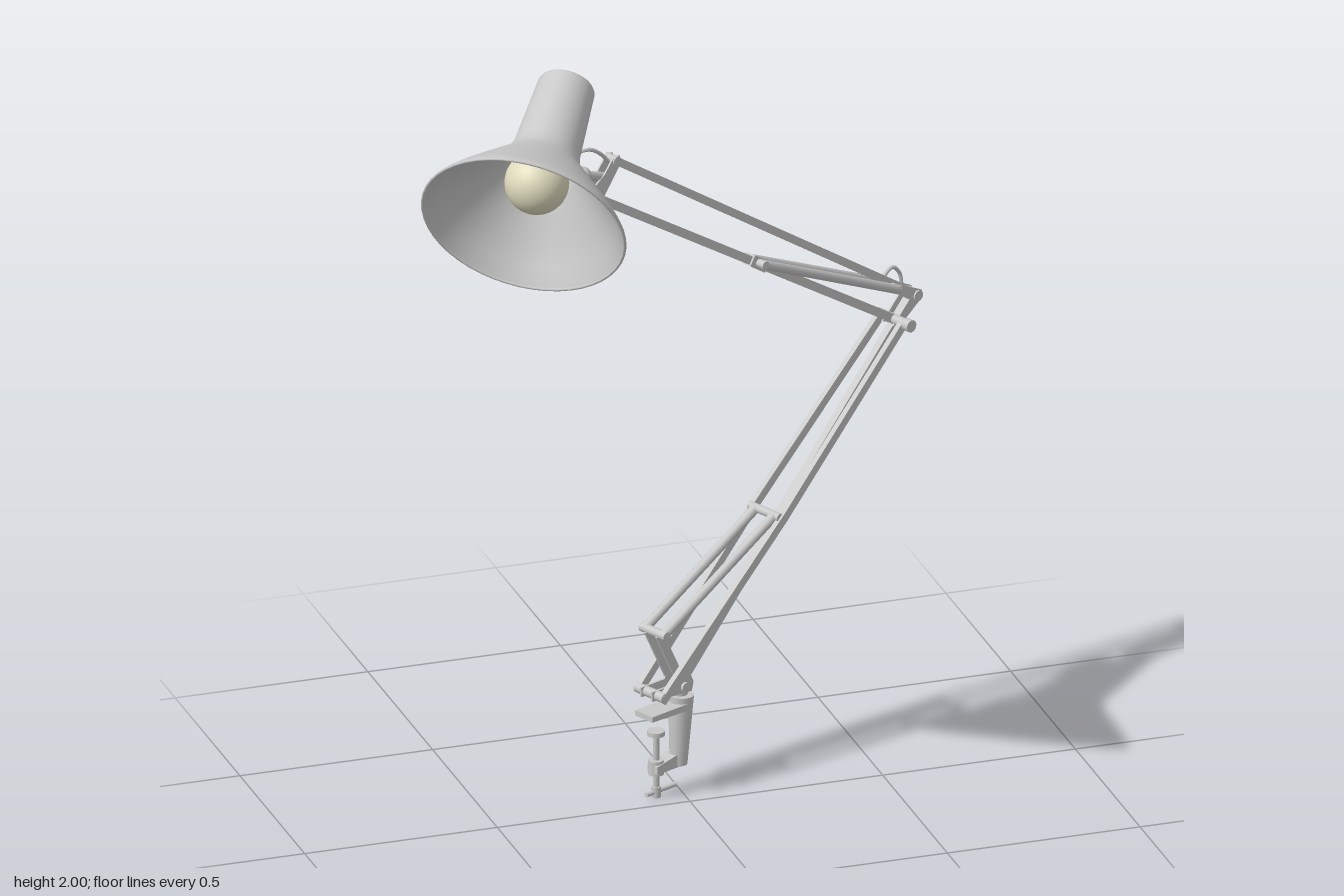
import * as THREE from 'three';

const V = (x, y, z) => new THREE.Vector3(x, y, z);
const TURN = 0.432; // yaw of the arm plane
const COS = Math.cos(TURN);

export function createModel() {
  const grey = new THREE.MeshStandardMaterial({ color: 0xc8c8c8, side: THREE.DoubleSide });
  grey.name = 'grey metal';
  const cream = new THREE.MeshStandardMaterial({ color: 0xdedabc });
  cream.name = 'cream bulb';

  const model = new THREE.Group();
  model.name = 'clampDeskLamp';
  const arm = new THREE.Group();
  arm.name = 'armAndClamp';
  arm.position.z = -0.086;
  arm.rotation.y = TURN;
  model.add(arm);

  const add = (parent, name, geo, mat = grey) => {
    const m = new THREE.Mesh(geo, mat);
    m.name = name;
    parent.add(m);
    return m;
  };
  // point in the arm plane: x as seen from the front, w across the plane
  const P = (x, y, w = 0) => V(x / COS, y, w);
  const between = (m, axis, a, b) => {
    m.position.copy(a).add(b).multiplyScalar(0.5);
    m.quaternion.setFromUnitVectors(axis, b.clone().sub(a).normalize());
    return m;
  };
  const round = (parent, name, a, b, r, r2 = r) =>
    between(add(parent, name, new THREE.CylinderGeometry(r2, r, a.distanceTo(b), 16)), V(0, 1, 0), a, b);
  const bar = (name, a, b, h, d) =>
    between(add(arm, name, new THREE.BoxGeometry(a.distanceTo(b), h, d)), V(1, 0, 0), a, b);
  const pin = (name, x, y, half, r) => round(arm, name, P(x, y, -half), P(x, y, half), r);
  const wire = (parent, name, pts, r) =>
    add(parent, name, new THREE.TubeGeometry(new THREE.CatmullRomCurve3(pts), 24, r, 8));
  const plate = (name, pts, w, depth) => {
    const shape = new THREE.Shape(pts.map(([x, y]) => new THREE.Vector2(x / COS, y)));
    const m = add(arm, name, new THREE.ExtrudeGeometry(shape, { depth, bevelEnabled: false }));
    m.position.z = w - depth / 2;
  };

  // Clamp
  round(arm, 'clampBody', P(-0.008, 0.072, 0.008), P(0, 0.255, 0.008), 0.022, 0.032);
  plate('clampJaw', [[-0.115, 0.226], [0, 0.222], [0, 0.24], [-0.115, 0.24]], 0.008, 0.062);
  plate('clampFoot', [[-0.085, 0.07], [0, 0.07], [0, 0.102], [-0.03, 0.102], [-0.085, 0.09]], 0.004, 0.036);
  round(arm, 'clampScrew', P(-0.07, 0.012), P(-0.07, 0.17), 0.008);
  round(arm, 'clampPad', P(-0.07, 0.166), P(-0.07, 0.178), 0.022);
  round(arm, 'screwNut', P(-0.07, 0.062), P(-0.07, 0.1), 0.02);
  round(arm, 'screwHandle', P(-0.1, 0.014), P(-0.01, 0.014), 0.006);
  round(arm, 'screwHub', P(-0.07, 0), P(-0.07, 0.028), 0.012);

  // Swivel and base bracket
  round(arm, 'swivelPost', P(0, 0.25), P(0, 0.285), 0.022);
  for (const w of [-0.02, 0.02]) {
    plate('basePlate', [[-0.1, 0.272], [0.02, 0.262], [0.026, 0.285], [0.008, 0.33], [-0.012, 0.325], [-0.03, 0.297], [-0.1, 0.297]], w, 0.006);
    bar('springBracket', P(-0.078, 0.445, w), P(-0.008, 0.29, w), 0.024, 0.006);
  }
  pin('basePivot', -0.085, 0.284, 0.05, 0.013);
  pin('baseRearPivot', -0.002, 0.28, 0.03, 0.013);
  pin('springAnchor', -0.075, 0.445, 0.045, 0.012);

  // Lower arm: outer bars bow slightly outwards around the springs
  for (const s of [-1, 1]) {
    bar('lowerArmBar', P(-0.09, 0.275, s * 0.043), P(0.275, 0.652, s * 0.053), 0.022, 0.015);
    bar('lowerArmBar', P(0.275, 0.652, s * 0.053), P(0.655, 1.045, s * 0.04), 0.022, 0.015);
    round(arm, 'lowerSpring', P(-0.075, 0.445, s * 0.033), P(0.265, 0.655, s * 0.033), 0.0125);
  }
  bar('lowerCentreBar', P(-0.005, 0.275), P(0.715, 1.09), 0.022, 0.02);
  pin('lowerSpringPin', 0.265, 0.655, 0.054, 0.011);

  // Elbow
  for (const w of [-0.019, 0.019]) {
    plate('elbowPlate', [[0.64, 1.035], [0.66, 1.028], [0.73, 1.085], [0.728, 1.104], [0.645, 1.148], [0.632, 1.133], [0.69, 1.09]], w, 0.005);
  }
  pin('elbowLowerPivot', 0.655, 1.045, 0.05, 0.013);
  pin('elbowRearPivot', 0.715, 1.093, 0.026, 0.014);
  pin('elbowSpringPin', 0.645, 1.135, 0.04, 0.011);
  round(arm, 'elbowKnob', P(0.655, 1.045, 0.05), P(0.655, 1.045, 0.07), 0.016);
  wire(arm, 'elbowCable', [P(0.622, 1.135), P(0.632, 1.168), P(0.655, 1.182), P(0.677, 1.16), P(0.685, 1.115)], 0.005);

  // Upper arm
  bar('upperArmTopBar', P(0.715, 1.095), P(-0.205, 1.76), 0.02, 0.018);
  bar('upperArmLowBar', P(0.655, 1.045), P(-0.265, 1.68), 0.022, 0.018);
  for (const s of [-1, 1]) {
    round(arm, 'upperSpring', P(0.235, 1.338, s * 0.026), P(0.65, 1.133, s * 0.031), 0.012);
  }
  pin('upperSpringPin', 0.235, 1.338, 0.038, 0.011);
  bar('springCollar', P(0.215, 1.35), P(0.26, 1.318), 0.03, 0.028);

  // Head bracket
  for (const w of [-0.013, 0.013]) {
    plate('headBracket', [[-0.195, 1.772], [-0.19, 1.75], [-0.25, 1.665], [-0.275, 1.665], [-0.285, 1.7], [-0.24, 1.735], [-0.215, 1.768]], w, 0.005);
  }
  pin('headTopPivot', -0.205, 1.76, 0.02, 0.012);
  pin('headLowPivot', -0.265, 1.682, 0.02, 0.012);

  // Shade, built along its own axis from the cap towards the rim
  const capEnd = V(-0.3, 1.937, -0.06);
  const dir = V(-0.215, -0.207, 0.31).normalize();
  const head = new THREE.Group();
  head.name = 'lampHead';
  head.position.copy(capEnd);
  head.quaternion.setFromUnitVectors(V(0, 1, 0), dir);
  model.add(head);

  const outer = [[0.068, 0], [0.072, 0.004], [0.078, 0.1], [0.084, 0.2], [0.091, 0.228], [0.108, 0.255], [0.15, 0.3],
    [0.195, 0.35], [0.23, 0.39], [0.25, 0.415], [0.26, 0.432]];
  const inner = [[0.254, 0.433], [0.224, 0.39], [0.189, 0.35], [0.144, 0.3], [0.1, 0.255], [0.082, 0.228], [0.072, 0.16], [0, 0.16]];
  add(head, 'shade', new THREE.LatheGeometry([...outer, ...inner].map(p => new THREE.Vector2(...p)), 64));
  const ring = (name, r, tube, y) => {
    const m = add(head, name, new THREE.TorusGeometry(r, tube, 8, 48));
    m.rotation.x = Math.PI / 2;
    m.position.y = y;
  };
  ring('shadeRim', 0.257, 0.004, 0.432);

  // Vented cap: recessed disc, rings and spokes
  round(head, 'capDisc', V(0, 0.016, 0), V(0, 0.022, 0), 0.071);
  ring('capEdge', 0.065, 0.006, 0.003);
  ring('capRing', 0.042, 0.005, 0.006);
  round(head, 'capHub', V(0, -0.002, 0), V(0, 0.018, 0), 0.018);
  for (let i = 0; i < 6; i++) {
    const a = i * Math.PI / 3;
    round(head, 'capSpoke', V(0, 0.008, 0), V(Math.cos(a) * 0.063, 0.008, Math.sin(a) * 0.063), 0.005);
  }

  // Bulb and socket
  round(head, 'socket', V(0, 0.155, 0), V(0, 0.245, 0), 0.036);
  add(head, 'bulb', new THREE.SphereGeometry(0.08, 32, 24), cream).position.y = 0.3;

  // Knuckle joining the shade to the arm
  const knuckle = V(-0.3, 1.752, 0.062);
  const neck = capEnd.clone().addScaledVector(dir, 0.19);
  round(model, 'knuckleStem', neck.lerp(knuckle, 0.65), knuckle, 0.016);
  add(model, 'knuckle', new THREE.SphereGeometry(0.022, 20, 14)).position.copy(knuckle);
  round(model, 'knuckleLink', knuckle, V(-0.235, 1.722, 0.022), 0.012);
  wire(model, 'headCable', [V(-0.335, 1.785, 0.06), V(-0.31, 1.806, 0.05), V(-0.275, 1.808, 0.04), V(-0.24, 1.785, 0.025), V(-0.215, 1.755, 0.013)], 0.005);

  return model;
}
